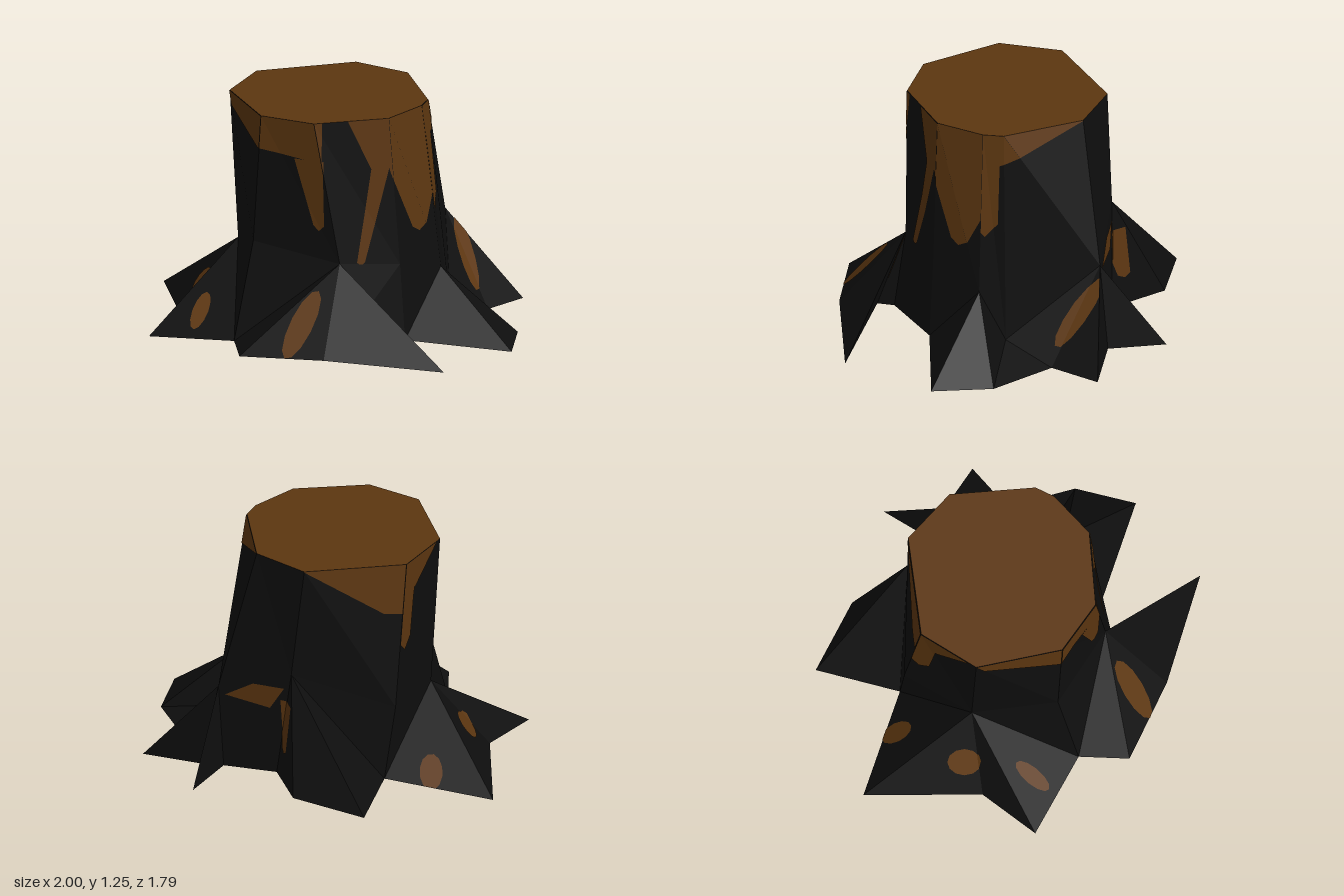
import * as THREE from 'three';

const H = 1.25;

// Columns run back -> left (+x) -> front -> right (-x).
// Each has a rim angle in degrees, a shoulder point and the root feet (x, z) below it.
const columns = [
  { rim: 6, mid: [0.08, 0.64, -0.55], feet: [[-0.42, -0.9], [-0.01, -0.83], [0.16, -0.55]] },
  { rim: 42, mid: [0.5, 0.48, -0.48], feet: [[0.46, -0.52], [0.54, -0.83], [0.58, -0.52], [0.92, -0.46], [0.77, -0.22]] },
  { rim: 93, mid: [0.61, 0.1, 0.02], feet: [[0.98, 0.09]] },
  { rim: 105, mid: [0.58, 0.37, 0.16], feet: [[1, 0.42], [0.43, 0.42]] },
  { rim: 135, mid: [0.4, 0.45, 0.4], feet: [[0.12, 0.6]] },
  { rim: 180, mid: [0.1, 0.48, 0.54], feet: [[0.1, 0.69], [0.71, 0.87], [0.07, 0.89], [-0.39, 0.83], [-0.46, 0.57]] },
  { rim: 214, mid: [-0.38, 0.55, 0.43], feet: [] },
  { rim: 266, mid: [-0.53, 0.42, 0], feet: [[-0.93, 0.48], [-0.81, 0.15], [-1, -0.45], [-0.4, -0.44]] },
  { rim: 304, mid: [-0.45, 0.45, -0.4], feet: [] },
].map(({ rim, mid, feet }) => {
  const a = THREE.MathUtils.degToRad(rim);
  return {
    top: new THREE.Vector3(0.53 * Math.sin(a) - 0.04, H, -0.53 * Math.cos(a)),
    mid: new THREE.Vector3(...mid),
    // Feet dip to the ground towards the sides
    feet: feet.map(([x, z]) => new THREE.Vector3(x, 0.06 * (1 - Math.abs(x)), z)),
  };
});
const next = (i) => columns[(i + 1) % columns.length];
const feet = columns.flatMap((c) => c.feet);

const normalOf = ([a, b, c]) => new THREE.Triangle(a, b, c).getNormal(new THREE.Vector3());

// Trunk walls
const trunk = columns.flatMap((c, i) => [
  [c.top, next(i).top, c.mid],
  [next(i).top, next(i).mid, c.mid],
]);

// Root flare: a fan from each shoulder point to its feet
function rootTriangles() {
  const tris = [];
  let last = feet.at(-1);
  columns.forEach((c, i) => {
    for (const foot of c.feet) {
      tris.push([c.mid, foot, last]);
      last = foot;
    }
    tris.push([c.mid, next(i).mid, last]);
  });
  return tris;
}

// Underside closing the star of roots
function undersideTriangles() {
  const outline = feet.map((f) => new THREE.Vector2(f.x, -f.z));
  return THREE.ShapeUtils.triangulateShape(outline, []).map((ids) => {
    const tri = ids.map((k) => feet[k]);
    return normalOf(tri).y > 0 ? tri.reverse() : tri;
  });
}

// Directions from which bare-wood patches are laid onto the bark
const Y = new THREE.Vector3(0, 1, 0);
const side = (x, y, z, up, min) => {
  const dir = new THREE.Vector3(x, y, z);
  return { dir, up, across: up.clone().cross(dir), min };
};
const front = side(0, 0, 1, Y, 0.4);
const back = side(0, 0, -1, Y, 0.4);
const left = side(1, 0, 0, Y, 0.86);
const right = side(-1, 0, 0, Y, 0.86);
const above = side(0, 1, 0, new THREE.Vector3(0, 0, -1), 0.25);

// Cut each bark facet to a convex outline and lift the piece slightly
function patchTriangles(tris, { dir, up, across, min }, outline) {
  const pts = outline.map((p) => new THREE.Vector2(...p));
  if (THREE.ShapeUtils.area(pts) < 0) pts.reverse();
  return tris.flatMap((tri) => {
    const n = normalOf(tri);
    if (n.dot(dir) < min) return [];
    let poly = tri;
    pts.forEach((a, i) => {
      const b = pts[(i + 1) % pts.length];
      const inside = (p) => (b.x - a.x) * (p.dot(up) - a.y) - (b.y - a.y) * (p.dot(across) - a.x);
      poly = poly.flatMap((p, k) => {
        const q = poly[(k + 1) % poly.length];
        const dp = inside(p), dq = inside(q);
        const kept = dp >= 0 ? [p] : [];
        if ((dp >= 0) !== (dq >= 0)) kept.push(p.clone().lerp(q, dp / (dp - dq)));
        return kept;
      });
    });
    const lifted = poly.map((p) => p.clone().addScaledVector(n, 0.004));
    return lifted.slice(2).map((p, k) => [lifted[0], lifted[k + 1], p]);
  });
}

// Tapering drip with a pointed end
const streak = (x0, y0, w0, x1, y1, w1) => [
  [x0 - w0, y0], [x1 - w1, y1 + w1], [x1, y1], [x1 + w1, y1 + w1], [x0 + w0, y0],
];

// Tilted oval
const oval = (x, y, rx, ry, tilt) => new THREE.EllipseCurve(x, y, rx, ry, 0, Math.PI * 2, false, tilt)
  .getPoints(12).slice(1).map((p) => p.toArray());

export function createModel() {
  const bark = new THREE.MeshStandardMaterial({ color: 0x0e0e0e });
  bark.name = 'charred bark';
  const wood = new THREE.MeshStandardMaterial({ color: 0x5c3610 });
  wood.name = 'bare wood';

  const group = new THREE.Group();
  group.name = 'stump';
  const add = (name, tris, material) => {
    const geometry = new THREE.BufferGeometry().setFromPoints(tris.flat());
    geometry.computeVertexNormals();
    const mesh = new THREE.Mesh(geometry, material);
    mesh.name = name;
    group.add(mesh);
  };

  const roots = rootTriangles();
  add('trunk', trunk, bark);
  add('roots', roots, bark);
  add('underside', undersideTriangles(), bark);

  // Sawn top
  const centre = new THREE.Vector3(-0.04, H, 0);
  add('cutTop', columns.map((c, i) => [centre, next(i).top, c.top]), wood);

  // Bare wood under the rim
  const band = (from, outline) => add('rimBand', patchTriangles(trunk, from, outline), wood);
  band(front, [[-0.6, H], [0, H], [0, 1.03], [-0.36, 1.07], [-0.55, 1.18]]);
  band(front, [[0.13, H], [0.6, H], [0.6, 0.98], [0.25, 0.98]]);
  band(left, [[-0.2, H], [0.4, H], [-0.05, 1.08], [-0.2, 1.08]]);
  band(back, [[-0.02, H], [0.5, H], [0.5, 0.97], [0.38, 0.98]]);
  band(right, [[-0.4, H], [0, H], [-0.2, 1.08], [-0.4, 1.08]]);

  // Drips running down from the bands
  const drip = (from, ...shape) => add('drip', patchTriangles(trunk, from, streak(...shape)), wood);
  drip(front, -0.07, 1.04, 0.08, -0.015, 0.65, 0.03);
  drip(front, 0.295, 0.98, 0.045, 0.205, 0.46, 0.02);
  drip(front, 0.45, 0.98, 0.11, 0.48, 0.6, 0.03);
  drip(left, -0.12, 1.08, 0.07, -0.13, 0.68, 0.07);
  drip(right, -0.32, 1.08, 0.11, -0.31, 0.75, 0.06);

  // Bare spots on the roots
  const spot = (from, outline) => add('rootSpot', patchTriangles(roots, from, outline), wood);
  spot(front, oval(-0.07, 0.2, 0.06, 0.17, -0.45));
  spot(above, oval(-0.67, -0.38, 0.045, 0.1, -0.2));
  spot(above, oval(-0.72, -0.02, 0.05, 0.09, 0.3));
  spot(above, oval(-0.64, 0.38, 0.06, 0.08, 0.5));
  spot(above, oval(0.63, 0.37, 0.05, 0.15, 0.5));
  spot(back, [[-0.46, 0.44], [-0.3, 0.54], [-0.12, 0.55], [-0.2, 0.42]]);
  spot(back, streak(-0.1, 0.48, 0.04, -0.1, 0.2, 0.02));

  return group;
}
